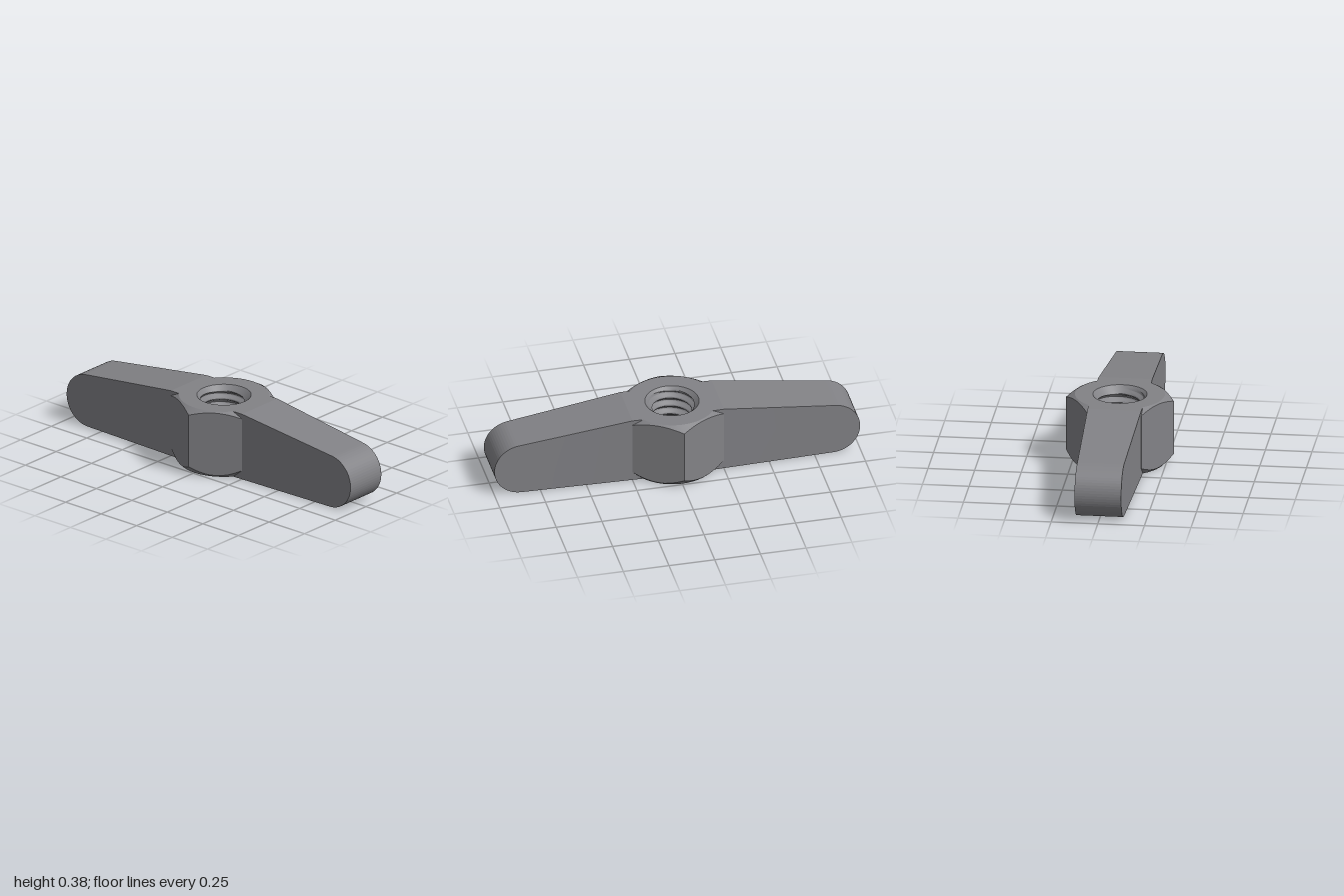
import * as THREE from 'three';
import { toCreasedNormals } from 'three/addons/utils/BufferGeometryUtils.js';

const H = 0.375;        // nut height
const FLAT = 0.25;      // centre to hex flat
const RIM = 0.24;       // radius of the flat end faces
const BORE = 0.145;     // mouth of the countersunk bore
const MINOR = 0.105, MAJOR = 0.13, PITCH = 0.05;
const SEG = 48;

const material = new THREE.MeshStandardMaterial({ color: 0x828286, side: THREE.DoubleSide });

// Skin a list of rings; each ring maps an angle to { r, y }
function skinRings(rings) {
  const positions = [], index = [];
  rings.forEach((ring) => {
    for (let i = 0; i <= SEG; i++) {
      const a = (i / SEG) * Math.PI * 2;
      const { r, y } = ring(a);
      positions.push(r * Math.sin(a), y, r * Math.cos(a));
    }
  });
  for (let j = 0; j < rings.length - 1; j++) {
    for (let i = 0; i < SEG; i++) {
      const p = j * (SEG + 1) + i, q = p + SEG + 1;
      index.push(p, p + 1, q, p + 1, q + 1, q);
    }
  }
  const geometry = new THREE.BufferGeometry();
  geometry.setAttribute('position', new THREE.Float32BufferAttribute(positions, 3));
  geometry.setIndex(index);
  return toCreasedNormals(geometry, Math.PI / 7);
}

// Hexagon radius with corners on the z axis
function hexRadius(a) {
  const third = Math.PI / 3;
  return FLAT / Math.cos((a % third) - third / 2);
}

// Hex body: end faces, conical corner chamfers and flats
function hexBody() {
  return skinRings([
    () => ({ r: BORE, y: 0 }),
    () => ({ r: RIM, y: 0 }),
    (a) => ({ r: hexRadius(a), y: hexRadius(a) - RIM }),
    (a) => ({ r: hexRadius(a), y: H - (hexRadius(a) - RIM) * Math.tan(Math.PI / 6) }),
    () => ({ r: RIM, y: H }),
    () => ({ r: BORE, y: H }),
  ]);
}

// Bore: helical thread cut by a countersink at both ends
function threadedBore() {
  const steps = 8, rings = [];
  const turns = Math.ceil(H / PITCH) + 1;
  for (let k = turns * steps; k >= -steps; k--) {
    const phase = (((k % steps) + steps) % steps) / steps;
    const wave = Math.abs(phase * 2 - 1);
    const depth = THREE.MathUtils.clamp(wave * 1.5 - 0.25, 0, 1);
    rings.push((a) => {
      const y = THREE.MathUtils.clamp(PITCH * (k / steps + a / (Math.PI * 2)), 0, H);
      const sink = BORE - Math.min(y, H - y);
      return { r: Math.max(MINOR + (MAJOR - MINOR) * depth, sink), y };
    });
  }
  return skinRings(rings);
}

// Wing: side profile with a faceted round tip, thinning up to the tip
function wingGeometry() {
  const R = 0.148, inner = 0.19;
  const slope = Math.atan2(0.08, 0.62);
  const shape = new THREE.Shape();
  shape.moveTo(inner, 0);
  shape.lineTo(1 - R, 0);
  shape.absarc(1 - R, R, R, -Math.PI / 2, Math.PI / 2 - slope, false);
  shape.lineTo(FLAT, H);
  shape.lineTo(inner, H);
  const geometry = new THREE.ExtrudeGeometry(shape, { depth: 2, bevelEnabled: false, curveSegments: 15 });
  geometry.translate(0, 0, -1);
  const p = geometry.attributes.position;
  for (let i = 0; i < p.count; i++) {
    const halfWidth = Math.max(0.125, 0.151 - 0.03 * p.getX(i));
    p.setZ(i, p.getZ(i) * halfWidth);
  }
  return toCreasedNormals(geometry, 0.05);
}

export function createModel() {
  const group = new THREE.Group();
  group.name = 'wingNut';
  const add = (geometry, name) => {
    const mesh = new THREE.Mesh(geometry, material);
    mesh.name = name;
    group.add(mesh);
    return mesh;
  };
  add(hexBody(), 'hexBody');
  add(threadedBore(), 'threadedBore');
  const wing = wingGeometry();
  add(wing, 'leftWing');
  add(wing, 'rightWing').rotation.y = Math.PI;
  return group;
}
